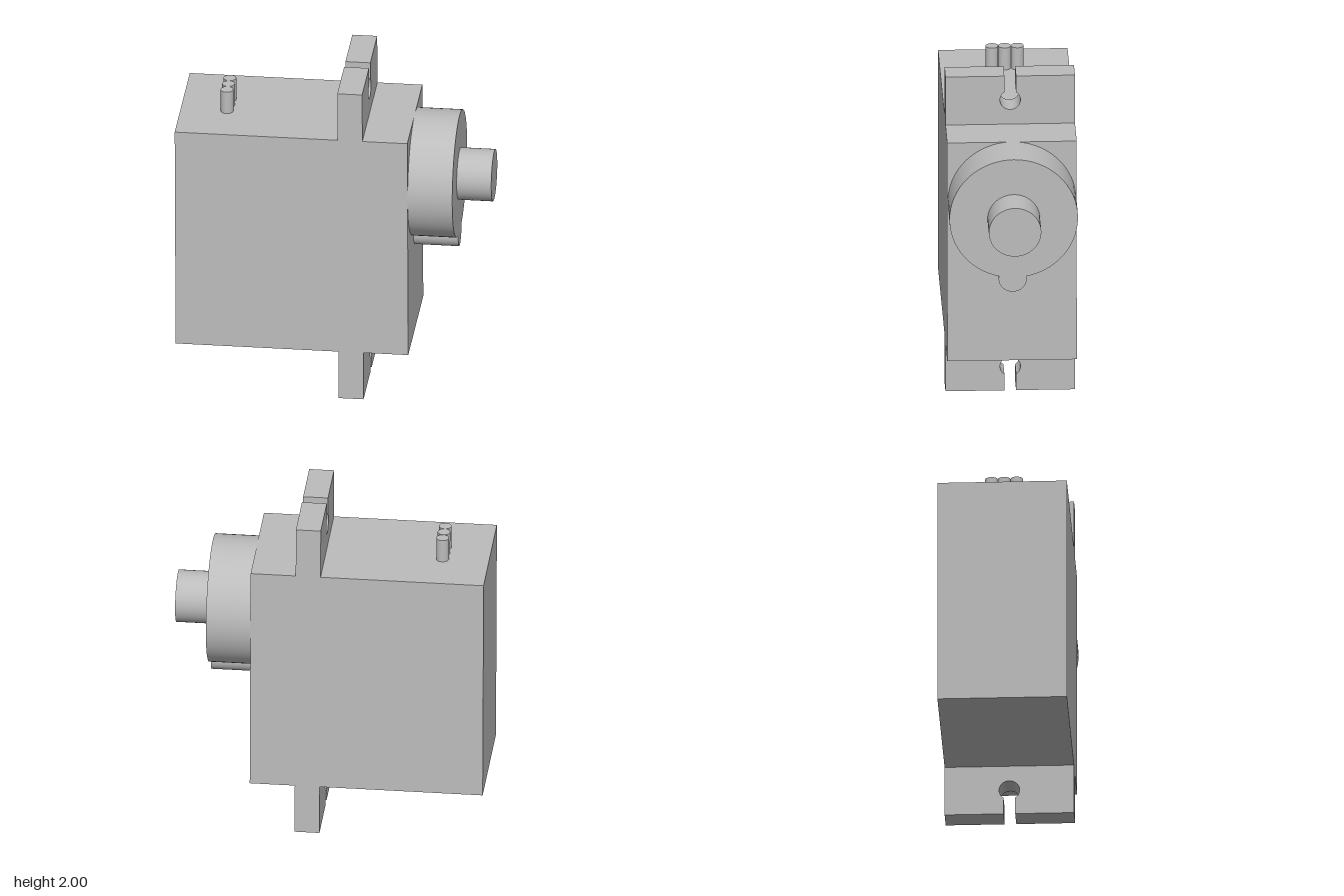
import * as THREE from 'three';

export function createModel() {
  const grey = new THREE.MeshStandardMaterial({ color: 0xbcbcbc });
  grey.name = 'plain grey';

  const root = new THREE.Group();
  root.name = 'servoMotor';
  const MID_Z = -0.012, HALF = 0.378;          // centre line and half width of the casing
  const BOTTOM = 0.307, TOP = 1.694, FACE = 0.461;

  function add(name, geometry, x, y, z) {
    const mesh = new THREE.Mesh(geometry, grey);
    mesh.name = name;
    mesh.position.set(x, y, z);
    root.add(mesh);
    return mesh;
  }

  // Casing
  add('casing', new THREE.BoxGeometry(1.366, TOP - BOTTOM, HALF * 2),
    FACE - 0.683, (TOP + BOTTOM) / 2, MID_Z);

  // Mounting tabs: a plate with a keyhole slot open to its outer end
  function tab(name, baseY, dir) {
    const H = 0.305, holeY = 0.153, r = 0.06, w = 0.034;
    const a = Math.asin(w / r);
    const s = new THREE.Shape();
    s.moveTo(-HALF, 0);
    s.lineTo(HALF, 0);
    s.lineTo(HALF, dir * H);
    s.lineTo(w, dir * H);
    for (let i = 0; i <= 32; i++) {
      const t = a + (i / 32) * (Math.PI * 2 - 2 * a);
      s.lineTo(r * Math.sin(t), dir * (holeY + r * Math.cos(t)));
    }
    s.lineTo(-w, dir * H);
    s.lineTo(-HALF, dir * H);
    s.closePath();
    const g = new THREE.ExtrudeGeometry(s, { depth: 0.146, bevelEnabled: false });
    g.rotateY(Math.PI / 2);
    add(name, g, 0.051, baseY, MID_Z);
  }
  tab('upperTab', TOP, 1);
  tab('lowerTab', BOTTOM, -1);

  // Gear housing, side boss and output shaft, all along x from the casing face
  function rod(name, r, x0, x1, y, z) {
    const g = new THREE.CylinderGeometry(r, r, x1 - x0, 64);
    g.rotateZ(-Math.PI / 2);
    add(name, g, (x0 + x1) / 2, y, z);
  }
  rod('gearHousing', 0.375, FACE, 0.723, 1.32, MID_Z);
  rod('housingBoss', 0.082, FACE, 0.723, 0.938, -0.006);
  rod('outputShaft', 0.153, 0.723, 0.926, 1.32, MID_Z);

  // Three connector pins
  for (let i = -1; i <= 1; i++) {
    add('connectorPin', new THREE.CylinderGeometry(0.037, 0.037, 0.14, 32),
      -0.633, TOP + 0.07, MID_Z + i * 0.074);
  }

  // The whole unit stands slightly turned
  root.rotation.set(0, 0.082, 0.004);
  root.position.x = 0.005;
  const model = new THREE.Group();
  model.name = 'model';
  model.add(root);
  return model;
}
